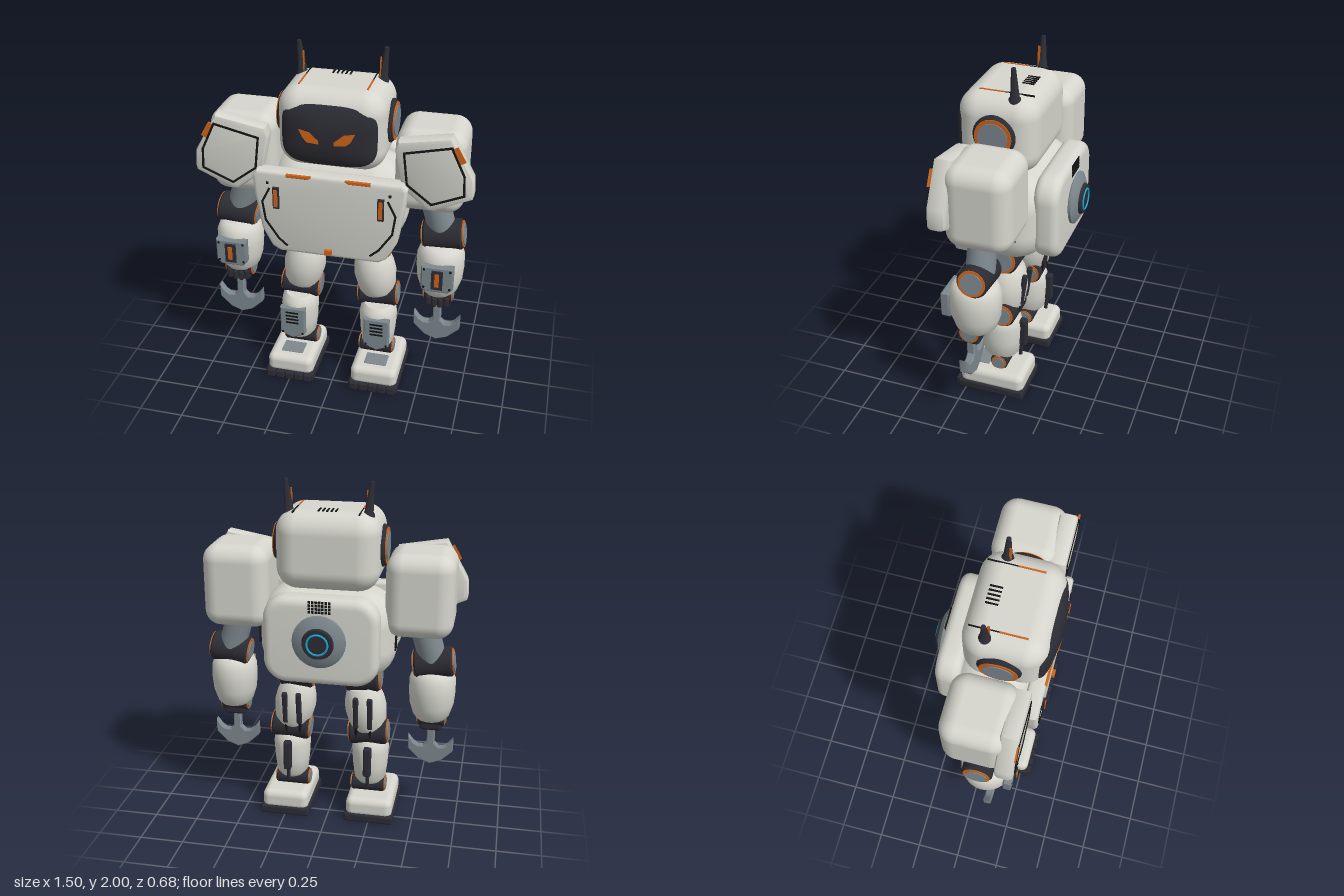
import * as THREE from 'three';
import { toCreasedNormals } from 'three/addons/utils/BufferGeometryUtils.js';
import { RoundedBoxGeometry } from 'three/addons/geometries/RoundedBoxGeometry.js';

const material = (name, color) => Object.assign(new THREE.MeshStandardMaterial({ color }), { name });
const white = material('shell white', 0xd6d6ce);
const dark = material('joint charcoal', 0x2c2c34);
const black = material('line black', 0x141416);
const orange = material('accent orange', 0xd0641a);
const grey = material('steel grey', 0x7d888e);
const cyan = material('reactor cyan', 0x1ca5cf);

export function createModel() {
  const root = new THREE.Group();
  root.name = 'robot';
  const v2 = (p) => new THREE.Vector2(p[0], p[1]);
  const polygon = (pts) => new THREE.Shape(pts.map(v2));

  function add(name, geo, mat, x = 0, y = 0, z = 0, rz = 0, rx = 0, parent = root) {
    const mesh = new THREE.Mesh(geo, mat);
    mesh.name = name;
    mesh.position.set(x, y, z);
    mesh.rotation.set(rx, 0, rz);
    parent.add(mesh);
    return mesh;
  }
  const box = (name, mat, w, h, d, x, y, z, rz, rx) =>
    add(name, new THREE.BoxGeometry(w, h, d), mat, x, y, z, rz, rx);
  const rounded = (name, mat, w, h, d, r, x, y, z) =>
    add(name, new RoundedBoxGeometry(w, h, d, 6, r), mat, x, y, z);

  // Flat shape extruded between z0 and z1 with a bevelled rim
  function slab(name, mat, shape, z0, z1, bevel, segments = 1) {
    const geo = new THREE.ExtrudeGeometry(shape, {
      depth: z1 - z0 - 2 * bevel, bevelThickness: bevel, bevelSize: bevel,
      bevelOffset: -bevel, bevelSegments: segments, curveSegments: 8,
    });
    geo.translate(0, 0, z0 + bevel);
    return add(name, toCreasedNormals(geo, 0.6), mat);
  }

  function roundRect(w, h, r, cx, cy) {
    const s = new THREE.Shape(), a = w / 2 - r, b = h / 2 - r, q = Math.PI / 2;
    [[a, b], [-a, b], [-a, -b], [a, -b]].forEach(([x, y], i) =>
      s.absarc(cx + x, cy + y, r, i * q, (i + 1) * q, false));
    return s;
  }

  // Profile [radius, y] from bottom to top
  const turned = (pts, sides = 32) => toCreasedNormals(new THREE.LatheGeometry(pts.map(v2), sides), 0.75);
  function barrel(name, mat, pts, x, y, z, rz = 0, depth = 1) {
    const mesh = add(name, turned(pts), mat, x, y, z, rz);
    mesh.scale.z = depth;
    return mesh;
  }

  // Hinge across x: dark drum, orange ring and grey cap at both ends
  function joint(name, r, len, x, y, z, rz = 0) {
    const g = new THREE.Group();
    g.name = name;
    g.position.set(x, y, z);
    g.rotation.z = rz;
    root.add(g);
    const h = len / 2, c = r * 0.12;
    const drum = turned([[0, -h], [r - c, -h], [r, -h + c], [r, h - c], [r - c, h], [0, h]]);
    add(name + 'Drum', drum, dark, 0, 0, 0, Math.PI / 2, 0, g);
    const disc = (k, e) => new THREE.CylinderGeometry(r * k, r * k, len + e, 32);
    add(name + 'Ring', disc(0.87, 0.01), orange, 0, 0, 0, Math.PI / 2, 0, g);
    add(name + 'Cap', disc(0.7, 0.02), grey, 0, 0, 0, Math.PI / 2, 0, g);
  }

  // Thin painted line through points on a z plane
  function panelLine(pts, z, mat = black, w = 0.011) {
    for (let i = 1; i < pts.length; i++) {
      const [x0, y0] = pts[i - 1], [x1, y1] = pts[i];
      box('panelLine', mat, Math.hypot(x1 - x0, y1 - y0) + w * 0.7, w, 0.006,
        (x0 + x1) / 2, (y0 + y1) / 2, z, Math.atan2(y1 - y0, x1 - x0));
    }
  }

  // Head with domed visor
  rounded('head', white, 0.57, 0.435, 0.44, 0.12, 0, 1.62, 0.085);
  const domeZ = (x, y) => {
    const rho = Math.min(1, ((x / 0.25) ** 4 + ((y - 1.61) / 0.172) ** 4) ** 0.25);
    return 0.272 + 0.066 * Math.sqrt(1 - rho * rho);
  };
  const visor = new THREE.SphereGeometry(1, 64, 14, 0, Math.PI * 2, 0, Math.PI / 2).rotateX(Math.PI / 2);
  const vp = visor.attributes.position;
  for (let i = 0; i < vp.count; i++) {
    const x = vp.getX(i), y = vp.getY(i), rho = Math.hypot(x, y);
    const k = rho > 1e-6 ? rho / (x ** 4 + y ** 4) ** 0.25 : 1;
    vp.setXYZ(i, x * k * 0.25, y * k * 0.172, vp.getZ(i) * 0.066);
  }
  visor.computeVertexNormals();
  add('visor', visor, dark, 0, 1.61, 0.272);
  for (let i = -2; i <= 2; i++) box('headVent', black, 0.009, 0.006, 0.065, i * 0.023, 1.838, -0.02);

  // Torso, chest plate and backpack
  rounded('torso', white, 0.76, 0.515, 0.43, 0.19, 0, 1.155, 0.02);
  slab('chestPlate', white, polygon([[-0.39, 1.38], [-0.415, 1.35], [-0.405, 1.24], [-0.37, 1.03], [-0.315, 0.925],
    [-0.27, 0.9], [0.27, 0.9], [0.315, 0.925], [0.37, 1.03], [0.405, 1.24], [0.415, 1.35], [0.39, 1.38]]),
    0.225, 0.315, 0.02, 3);
  box('chestLatch', orange, 0.04, 0.03, 0.03, 0, 0.935, 0.318);
  slab('backpack', white, roundRect(0.63, 0.49, 0.13, 0, 1.175), -0.27, -0.13, 0.045, 5);
  add('reactorHousing', turned([[0, 0], [0.115, 0], [0.145, 0.012], [0.145, 0.025], [0.1, 0.05], [0, 0.05]], 48),
    grey, 0, 1.19, -0.265, 0, -Math.PI / 2);
  add('reactorCore', turned([[0, 0], [0.088, 0], [0.08, 0.02], [0, 0.02]], 48), dark, 0, 1.19, -0.312, 0, -Math.PI / 2);
  add('reactorRing', new THREE.TorusGeometry(0.056, 0.006, 8, 48), cyan, 0, 1.19, -0.333);
  for (let i = -3; i <= 3; i++) for (let j = 0; j < 4; j++)
    box('backVentHole', black, 0.013, 0.013, 0.006, i * 0.018, 1.35 + j * 0.018, -0.271);

  for (const s of [1, -1]) {
    const mirror = (pts) => pts.map(([x, y]) => [s * x, y]);

    // Eye, ear, antenna and head trim
    const eye = new THREE.ShapeGeometry(polygon(
      mirror([[0.04, 1.58], [0.04, 1.6], [0.09, 1.642], [0.148, 1.65], [0.125, 1.605], [0.1, 1.583]])));
    const ep = eye.attributes.position;
    for (let i = 0; i < ep.count; i++) ep.setZ(i, domeZ(ep.getX(i), ep.getY(i)) + 0.006);
    add('eye', eye, orange);
    joint('ear', 0.115, 0.05, s * 0.28, 1.635, 0.08);
    barrel('antenna', dark, [[0, 0], [0.034, 0], [0.032, 0.03], [0.024, 0.04], [0.012, 0.2], [0, 0.205]],
      s * 0.212, 1.795, -0.008, -s * 0.1);
    box('antennaStripe', orange, 0.006, 0.12, 0.012, s * 0.204, 1.885, 0.008, -s * 0.02);
    box('headSeam', black, 0.006, 0.008, 0.2, s * 0.178, 1.835, 0.0);
    box('headStripe', orange, 0.009, 0.009, 0.14, s * 0.178, 1.835, 0.125);

    // Chest trim
    panelLine(mirror([[0.32, 1.28], [0.36, 1.2], [0.345, 1.09], [0.275, 0.985], [0.23, 0.945]]), 0.316);
    box('chestBar', dark, 0.034, 0.125, 0.02, s * 0.282, 1.232, 0.318);
    box('chestBarLight', orange, 0.02, 0.1, 0.008, s * 0.282, 1.232, 0.329);
    slab('chestTopStripe', orange, polygon(mirror([[0.09, 1.37], [0.11, 1.358], [0.225, 1.358], [0.225, 1.376],
      [0.09, 1.376]])), 0.3, 0.32, 0.002);
    box('chestBolt', black, 0.014, 0.014, 0.008, s * 0.328, 1.315, 0.315);
    for (let i = 0; i < 4; i++) for (let j = 0; j < 5; j++)
      box('sideVentHole', black, 0.006, 0.013, 0.011, s * 0.38, 1.09 + j * 0.018, -0.06 + i * 0.017);

    // Shoulder with angled front guard
    rounded('shoulder', white, 0.37, 0.465, 0.36, 0.09, s * 0.505, 1.403, 0.04);
    slab('shoulderGuard', white, polygon(mirror([[0.62, 1.648], [0.35, 1.6], [0.335, 1.55], [0.375, 1.34], [0.51, 1.23],
      [0.55, 1.228], [0.742, 1.315], [0.748, 1.34], [0.742, 1.43]])), 0.17, 0.268, 0.022, 2);
    panelLine(mirror([[0.625, 1.6], [0.385, 1.545], [0.405, 1.37], [0.535, 1.27], [0.7, 1.34], [0.695, 1.45],
      [0.625, 1.6]]), 0.27);
    box('shoulderStripe', orange, 0.035, 0.09, 0.008, s * 0.662, 1.56, 0.267, s * 0.52);

    // Arm
    barrel('upperArm', grey, [[0, -0.12], [0.078, -0.12], [0.078, 0.12], [0, 0.12]], s * 0.545, 1.12, 0.055, s * 0.28);
    joint('elbow', 0.086, 0.215, s * 0.585, 0.985, 0.06, s * 0.13);
    barrel('forearm', white, [[0, 0.64], [0.085, 0.64], [0.105, 0.665], [0.125, 0.73], [0.132, 0.81], [0.13, 0.88],
      [0.112, 0.925], [0.09, 0.94], [0, 0.94]], s * 0.58, 0, 0.085, 0, 1.07);
    slab('forearmPlate', grey, polygon(mirror([[0.495, 0.88], [0.495, 0.745], [0.52, 0.72], [0.645, 0.72],
      [0.672, 0.745], [0.672, 0.88]])), 0.2, 0.25, 0.008);
    box('forearmBar', dark, 0.062, 0.115, 0.02, s * 0.585, 0.802, 0.25);
    box('forearmLight', orange, 0.024, 0.08, 0.008, s * 0.585, 0.805, 0.262);
    for (const bx of [0.513, 0.655]) for (const by of [0.75, 0.862])
      box('forearmBolt', black, 0.012, 0.012, 0.006, s * bx, by, 0.25);

    // Hand gripping a hook
    joint('wrist', 0.062, 0.15, s * 0.582, 0.64, 0.1);
    rounded('palm', dark, 0.13, 0.09, 0.1, 0.02, s * 0.582, 0.605, 0.1);
    for (let i = 0; i < 4; i++)
      rounded('finger', dark, 0.03, 0.062, 0.05, 0.012, s * (0.531 + i * 0.034), 0.607 + (i % 3 ? -0.01 : 0), 0.148);
    const half = [[0.022, 0.59], [0.022, 0.46], [0.045, 0.437], [0.075, 0.438], [0.1, 0.455], [0.131, 0.497],
      [0.131, 0.415], [0.065, 0.35]];
    const hook = [...half, [0, 0.325], ...half.map(([x, y]) => [-x, y]).reverse()];
    slab('hook', grey, polygon(hook.map(([x, y]) => [x + s * 0.582, y])), 0.095, 0.14, 0.006);

    // Leg
    joint('hip', 0.09, 0.19, s * 0.19, 0.875, 0.05, s * 0.05);
    barrel('thigh', white, [[0, -0.13], [0.09, -0.13], [0.106, -0.1], [0.12, 0], [0.113, 0.06], [0.098, 0.11],
      [0.085, 0.13], [0, 0.13]], s * 0.207, 0.685, 0.05, s * 0.15);
    for (const o of [-0.04, 0.04]) {
      rounded('thighPiston', dark, 0.03, 0.2, 0.03, 0.01, s * 0.205 + o, 0.685, -0.058).rotation.x = -0.14;
      add('thighRod', new THREE.CylinderGeometry(0.009, 0.009, 0.1, 12), black, s * 0.205 + o, 0.57, -0.035, 0, -0.14);
    }
    joint('knee', 0.078, 0.215, s * 0.228, 0.538, 0.04, s * 0.06);
    barrel('shin', white, [[0, 0.21], [0.075, 0.21], [0.092, 0.235], [0.102, 0.32], [0.108, 0.42], [0.1, 0.47],
      [0.08, 0.495], [0, 0.495]], s * 0.235, 0, 0.075, 0, 1.15);
    slab('shinPlate', grey, polygon(mirror([[0.175, 0.445], [0.175, 0.268], [0.25, 0.235], [0.322, 0.268],
      [0.322, 0.445]])), 0.17, 0.208, 0.006);
    for (let i = 0; i < 4; i++) box('shinVent', black, 0.075, 0.01, 0.008, s * 0.25, 0.345 + i * 0.023, 0.207);
    for (const bx of [0.19, 0.307]) box('shinBolt', black, 0.011, 0.011, 0.006, s * bx, 0.275, 0.208);
    rounded('calfPiston', dark, 0.045, 0.18, 0.045, 0.012, s * 0.235, 0.38, -0.058);
    add('calfRod', new THREE.CylinderGeometry(0.011, 0.011, 0.14, 12), dark, s * 0.235, 0.28, -0.045, 0, -0.1);
    joint('ankle', 0.052, 0.19, s * 0.228, 0.185, 0.065);

    // Foot
    rounded('foot', white, 0.272, 0.12, 0.385, 0.04, s * 0.25, 0.088, 0.095);
    rounded('instepPlate', grey, 0.13, 0.012, 0.1, 0.005, s * 0.25, 0.147, 0.18);
    rounded('sole', dark, 0.29, 0.054, 0.4, 0.014, s * 0.25, 0.027, 0.095);
    for (let i = -2; i <= 2; i++) rounded('toeLug', dark, 0.046, 0.046, 0.03, 0.008, s * 0.25 + i * 0.055, 0.03, 0.297);
  }
  return root;
}
